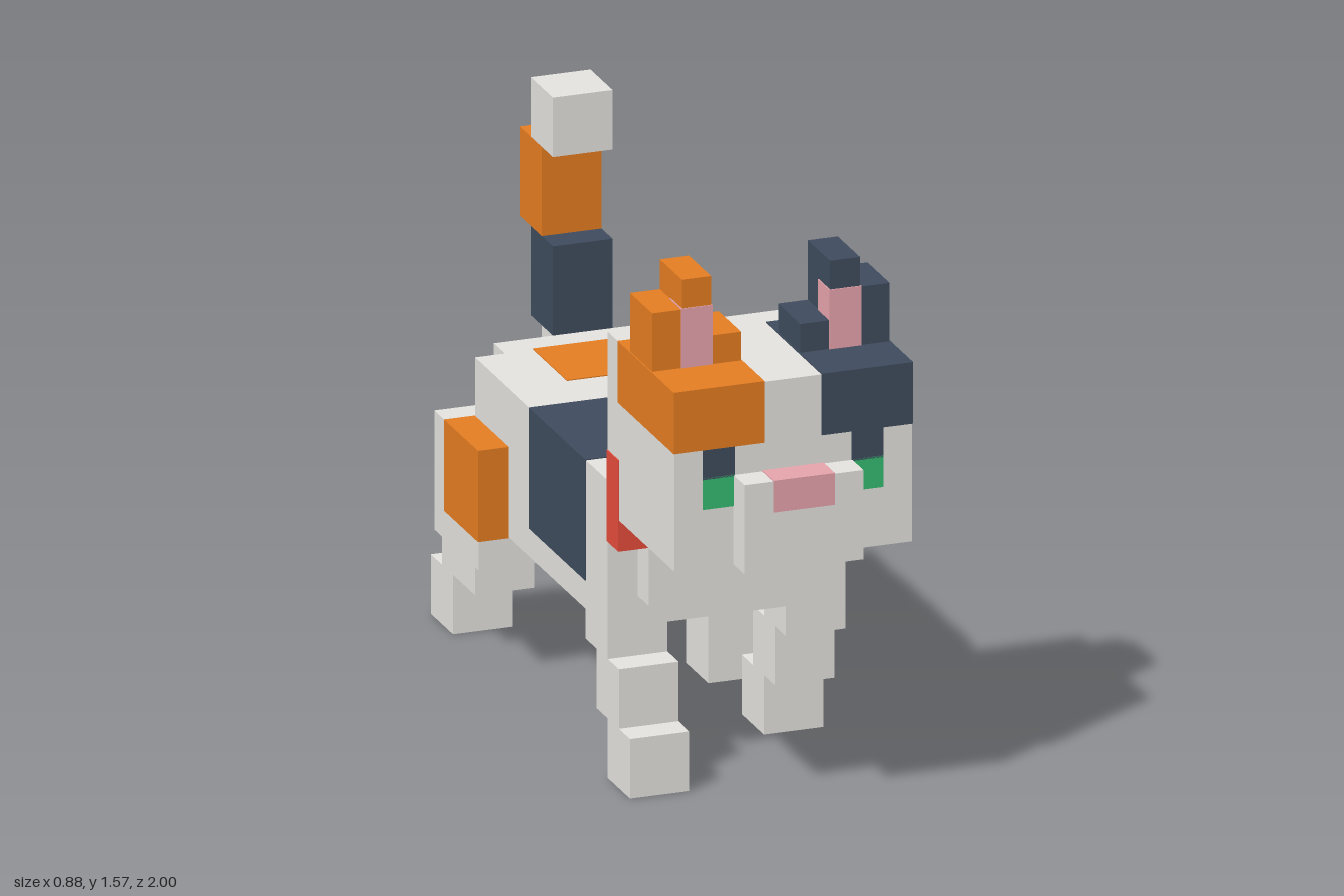
import * as THREE from 'three';

// One block of the grid; the cat is 23 blocks long.
const U = 2 / 23;
const SKIN = 0.003; // how far painted patches stand proud

const mat = (name, color) => Object.assign(new THREE.MeshStandardMaterial({ color }), { name });

export function createModel() {
  const cat = new THREE.Group();
  cat.name = 'blockCat';

  const white = mat('whiteFur', 0xe5e4df);
  const orange = mat('orangeFur', 0xe67e22);
  const dark = mat('darkFur', 0x3f4c5e);
  const green = mat('eyeGreen', 0x35bd70);
  const pink = mat('pinkSkin', 0xe8a5ad);
  const red = mat('collarRed', 0xe74c3c);
  const yellow = mat('bellYellow', 0xe8c010);

  // Box from block ranges [min, max]; grow swells it slightly for patches.
  const box = (name, material, x, y, z, grow = 0) => {
    const size = [x, y, z].map(([a, b]) => (b - a) * U + 2 * grow);
    const mid = [x, y, z].map(([a, b]) => ((a + b) / 2) * U);
    const mesh = new THREE.Mesh(new THREE.BoxGeometry(...size), material);
    mesh.name = name;
    mesh.position.set(...mid);
    cat.add(mesh);
  };
  const patch = (name, material, x, y, z) => box(name, material, x, y, z, SKIN);
  // Range on the left (+1) or right (-1) side
  const flip = (s, a, b) => (s > 0 ? [a, b] : [-b, -a]);

  // Torso
  box('body', white, [-4, 4], [5, 10], [-7.5, 4.5]);
  box('rump', white, [-3, 3], [6, 10], [-8.5, -7.5]);
  box('chest', white, [-3, 3], [6, 8], [4.5, 5.5]);
  box('neckRidge', white, [-3, 3], [10, 11], [3.5, 4.5]);

  // Coat patches on the torso
  patch('rumpPatch', orange, [-2, 2], [9, 10], [-7.5, -4.5]);
  patch('leftFlankPatch', orange, [1, 4], [7, 10], [-4.5, 1.5]);
  patch('rightFlankPatch', dark, [-4, -1], [6, 10], [-2.5, 2.5]);

  // Head, snout and nose
  box('head', white, [-4, 4], [9, 15], [4.5, 10.5]);
  box('snout', white, [-2, 2], [9, 12], [10.5, 11.5]);
  patch('nose', pink, [-1, 1], [11, 12], [10.5, 11.5]);

  // Throat, collar and bell
  box('throat', white, [-3, 3], [8, 9], [4.5, 6.5]);
  patch('bell', yellow, [-1, 1], [8, 9], [5.5, 6.5]);

  for (const s of [1, -1]) {
    const side = s > 0 ? 'left' : 'right';
    const fur = s > 0 ? dark : orange;

    // Face markings and eyes
    patch(side + 'HeadPatch', fur, flip(s, 1, 4), [13, 15], [5.5, 10.5]);
    patch(side + 'Brow', dark, flip(s, 2, 3), [12, 13], [9.5, 10.5]);
    patch(side + 'Eye', green, flip(s, 2, 3), [11, 12], [9.5, 10.5]);

    // Stepped ear with a pink inside
    box(side + 'EarBase', fur, flip(s, 1, 4), [15, 16], [6.5, 8.5]);
    box(side + 'EarMiddle', fur, flip(s, 2, 4), [16, 17], [6.5, 8.5]);
    box(side + 'EarTip', fur, flip(s, 2, 3), [17, 18], [6.5, 8.5]);
    patch(side + 'InnerEar', pink, flip(s, 2, 3), [15, 17], [7.5, 8.5]);

    // Collar side
    patch(side + 'Collar', red, flip(s, 3, 4), [8, 11], [4.5, 5.5]);

    // Front leg, mid-stride
    const leg = flip(s, 2, 4);
    const f = s > 0 ? [1.5, 3.5] : [3.5, 5.5];
    const paw = s > 0 ? [0.5, 2.5] : [4.5, 6.5];
    box(side + 'Shoulder', white, leg, [4, 5], [2.5, 4.5]);
    box(side + 'FrontLeg', white, leg, [2, 4], f);
    box(side + 'FrontPaw', white, leg, [0, 2], paw);

    // Haunch with its patch, and hind leg
    const h = s > 0 ? -3.5 : -4.5;
    box(side + 'Haunch', white, flip(s, 2, 5), [4, 8], [h - 4, h]);
    patch(side + 'HaunchPatch', fur, flip(s, 4, 5), [5, 8], [h - 3, h]);
    box(side + 'HindLeg', white, leg, [2, 4], s > 0 ? [-5.5, -2.5] : [-10.5, -7.5]);
    box(side + 'HindPaw', white, leg, [0, 2], s > 0 ? [-4.5, -2.5] : [-11.5, -9.5]);
  }

  // Tail
  box('tailBase', white, [-1, 1], [8, 10], [-9.5, -8.5]);
  box('tailLower', dark, [-1, 1], [10, 13], [-10.5, -8.5]);
  box('tailUpper', orange, [-1, 1], [13, 16], [-11.5, -9.5]);
  box('tailTip', white, [-1, 1], [16, 18], [-10.5, -8.5]);

  return cat;
}
